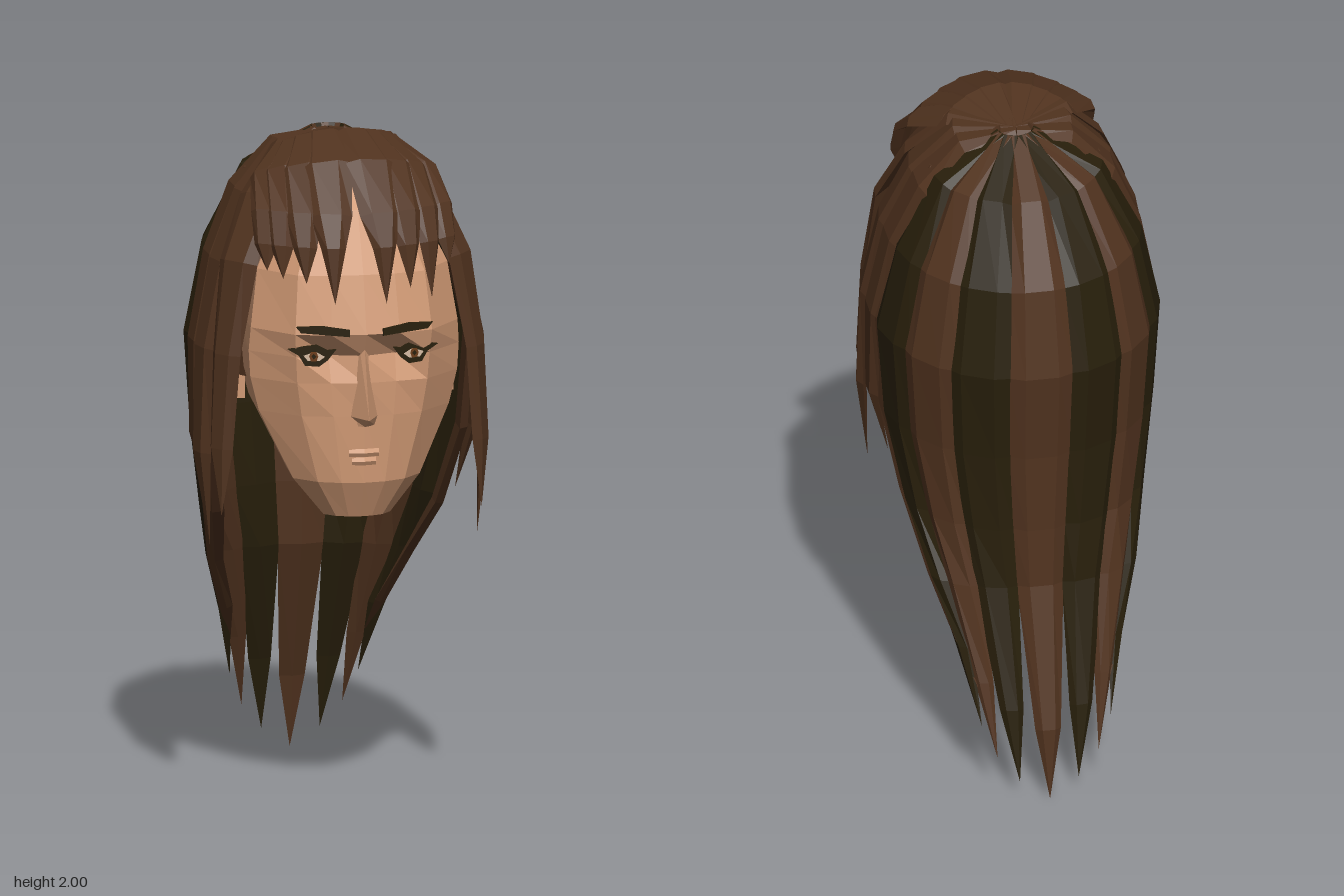
import * as THREE from 'three';

const mat = (name, color) => Object.assign(new THREE.MeshStandardMaterial({ color }), { name });
const V = (x, y, z) => new THREE.Vector3(x, y, z);

// Skin a list of equal-length rings; unshared corners keep every facet flat
function loft(rings) {
  const pos = [];
  const tri = (...p) => p.forEach(v => pos.push(v.x, v.y, v.z));
  const n = rings[0].length;
  for (let i = 0; i < rings.length - 1; i++) {
    for (let j = 0; j < n; j++) {
      const k = (j + 1) % n, a = rings[i], b = rings[i + 1];
      tri(a[j], a[k], b[j]);
      tri(a[k], b[k], b[j]);
    }
  }
  const first = rings[0], last = rings[rings.length - 1];
  for (let j = 1; j < n - 1; j++) {
    tri(first[0], first[j + 1], first[j]);
    tri(last[0], last[j], last[j + 1]);
  }
  const g = new THREE.BufferGeometry();
  g.setAttribute('position', new THREE.Float32BufferAttribute(pos, 3));
  g.computeVertexNormals();
  return g;
}

// Tapered lock of hair: path points, half widths and sideways directions
function lock(path, widths, sides, thick) {
  return loft(path.map((p, i) => {
    const t = path[Math.min(i + 1, path.length - 1)].clone().sub(path[Math.max(i - 1, 0)]).normalize();
    const s = sides[i].clone().normalize();
    const n = s.clone().cross(t).normalize();
    const w = widths[i], d = Math.min(thick, w * 0.5);
    const at = (u, v) => p.clone().addScaledVector(s, u * w).addScaledVector(n, v * d);
    return [at(-1, 0), at(-0.5, 1), at(0.5, 1), at(1, 0), at(0, -0.4)];
  }));
}

export function createModel() {
  const model = new THREE.Group();
  model.name = 'headWithLongHair';
  const skin = mat('skin', 0xd09974);
  const brown = mat('brownHair', 0x51331f);
  const dark = mat('darkHair', 0x281f0b);
  const white = mat('eyeWhite', 0xd8bda4);
  const iris = mat('iris', 0x6b3c18);
  const add = (name, geo, m, parent = model) => {
    const mesh = new THREE.Mesh(geo, m);
    mesh.name = name;
    parent.add(mesh);
    return mesh;
  };

  // Head: y, half width, face corner x, then z of centre, socket, corner and back
  const rows = [
    [0.89, 0.10, 0.07, 0.45, 0.445, 0.43, 0.25],
    [1.00, 0.19, 0.13, 0.50, 0.49, 0.46, 0.10],
    [1.20, 0.285, 0.18, 0.505, 0.495, 0.465, -0.10],
    [1.30, 0.31, 0.195, 0.51, 0.495, 0.475, -0.15],
    [1.38, 0.315, 0.20, 0.50, 0.465, 0.482, -0.18],
    [1.45, 0.31, 0.205, 0.535, 0.525, 0.495, -0.20],
    [1.62, 0.285, 0.19, 0.49, 0.485, 0.46, -0.20],
    [1.80, 0.20, 0.13, 0.41, 0.405, 0.38, -0.12],
    [1.90, 0.10, 0.06, 0.30, 0.295, 0.27, 0],
  ];
  add('head', loft(rows.map(([y, w, cx, zf, zm, zc, zb]) => {
    const z = f => zb + (zc - zb) * f;
    const half = [[cx * 0.5, zm], [cx, zc], [w, z(0.8)], [w * 0.92, z(0.34)], [w * 0.5, z(0.04)]];
    return [
      V(0, y, zf), ...half.map(([x, d]) => V(x, y, d)),
      V(0, y, zb), ...half.reverse().map(([x, d]) => V(-x, y, d)),
    ];
  })), skin);

  // Nose: nostril base, tip and bridge
  add('nose', loft([[1.17, 0.035, 0.49, 0.515], [1.2, 0.045, 0.49, 0.578], [1.4, 0.012, 0.495, 0.51]]
    .map(([y, w, zs, zf]) => [V(-w, y, zs), V(0, y, zf), V(w, y, zs), V(0, y, 0.44)])), skin);

  // Lips
  for (const [name, y, w] of [['upperLip', 1.09, 0.045], ['lowerLip', 1.065, 0.036]]) {
    add(name, loft([[-0.012, 0.504], [0, 0.51], [0.012, 0.504]].map(([d, z]) =>
      [V(-w, y + d, z - 0.008), V(0, y + d, z), V(w, y + d, z - 0.008), V(0, y + d, 0.46)])), skin);
  }

  // Thin face plates, swept back towards the temples
  const plate = (name, pts, s, z, m) => {
    const shape = new THREE.Shape(pts.map(([x, y]) => new THREE.Vector2(x * s, y)));
    const g = new THREE.ExtrudeGeometry(shape, { depth: 0.008, bevelEnabled: false });
    const p = g.attributes.position;
    for (let i = 0; i < p.count; i++) p.setZ(i, p.getZ(i) + z - 0.2 * Math.abs(p.getX(i)));
    g.computeVertexNormals();
    add(name, g, m);
  };
  for (const [side, s] of [['left', 1], ['right', -1]]) {
    plate(side + 'Eyebrow', [[0.05, 1.445], [0.19, 1.457], [0.205, 1.475], [0.13, 1.478], [0.05, 1.466]], s, 0.538, dark);
    plate(side + 'EyeRim', [[0.11, 1.372], [0.135, 1.353], [0.175, 1.356], [0.192, 1.385], [0.225, 1.405],
      [0.19, 1.412], [0.14, 1.418], [0.11, 1.402], [0.085, 1.405]], s, 0.519, dark);
    plate(side + 'EyeWhite', [[0.118, 1.383], [0.135, 1.37], [0.168, 1.371], [0.18, 1.386], [0.145, 1.398]], s, 0.521, white);
    plate(side + 'Iris', [[0.138, 1.384], [0.143, 1.37], [0.159, 1.37], [0.164, 1.384], [0.159, 1.397], [0.143, 1.397]],
      s, 0.523, iris);
    plate(side + 'Pupil', [[0.144, 1.384], [0.151, 1.376], [0.158, 1.384], [0.151, 1.392]], s, 0.525, dark);
    add(side + 'Ear', new THREE.BoxGeometry(0.05, 0.22, 0.09), skin).position.set(s * 0.312, 1.31, 0.12);
  }

  // Scalp beneath the locks
  const scalp = new THREE.SphereGeometry(1, 16, 6, 0, Math.PI * 2, 0, Math.PI * 0.55).toNonIndexed();
  scalp.scale(0.35, 0.57, 0.38);
  scalp.translate(0, 1.36, 0);
  scalp.computeVertexNormals();
  brown.side = THREE.DoubleSide;
  add('scalp', scalp, brown);

  // Long back hair: ellipse rows of y, x radius, z radius, z centre
  const back = new THREE.Group();
  back.name = 'backHair';
  model.add(back);
  const ellipses = [
    [1.95, 0.04, 0.03, -0.03], [1.84, 0.235, 0.225, -0.03], [1.62, 0.345, 0.365, -0.02],
    [1.36, 0.40, 0.435, 0], [1.08, 0.38, 0.40, -0.01], [0.83, 0.335, 0.29, -0.115],
    [0.64, 0.29, 0.13, -0.285],
  ];
  const taper = [1, 1.05, 1.05, 1.05, 1.05, 1, 1, 0.68, 0];
  [-100, -74, -49, -26, 0, 26, 49, 74, 100].forEach((deg, i) => {
    const a = THREE.MathUtils.degToRad(deg), sn = Math.sin(a), cs = Math.cos(a);
    const tipY = 0.3 * Math.pow(Math.abs(deg) / 90, 1.3);
    const endY = Math.min(tipY + 0.22, 0.47);
    const all = [...ellipses,
      [endY, 0.235, 0.045, -0.49 + (endY - 0.24) * 0.4],
      [tipY, 0.2, 0.05, -0.525 + tipY * 0.1]];
    const path = all.map(([y, rx, rz, cz]) => V(rx * sn, y, cz - rz * cs));
    const sides = all.map(([, rx, rz]) => V(rx * cs, 0, rz * sn));
    const widths = sides.map((s, j) => Math.max(s.length() * 0.24, 0.04) * taper[j]);
    add('backLock' + (i + 1), lock(path, widths, sides, 0.025), i % 2 ? dark : brown, back);
  });

  // Fringe: locks running forward from the crown, [x, tip height]
  const fringe = new THREE.Group();
  fringe.name = 'fringe';
  model.add(fringe);
  const bangs = [[-0.265, 1.63], [-0.225, 1.61], [-0.165, 1.6], [-0.088, 1.54], [0.06, 1.54], [0.135, 1.58], [0.205, 1.54], [0.265, 1.63]];
  bangs.forEach(([x, tip], i) => {
    const ax = Math.abs(x), c = 1.7 * x * x, d = 0.6 * x * x;
    const path = [
      V(0, 1.95, -0.03), V(0.6 * x, 1.983 - d, 0.18 - c * 0.4), V(0.92 * x, 1.925 - d, 0.35 - c),
      V(x, 1.79, 0.46 - c), V(x * 1.02, 1.7, 0.505 - c), V(x * 1.03, tip, 0.535 - c),
    ];
    // outer locks lean down over the temples
    const lean = path.map((p, j) => V(-1, j < 3 ? x * 1.6 : 0, x * 2.5));
    add('fringeLock' + (i + 1), lock(path, [0.02, 0.06, 0.092 - 0.17 * ax, 0.072 - 0.11 * ax, 0.036, 0], lean, 0.018), brown, fringe);
  });

  // Side locks hanging past the cheeks
  const sideLocks = [
    { dir: [-0.57, 0.82], w: [0.03, 0.07, 0.085, 0.075, 0.055, 0.045, 0],
      p: [[0, 1.95, 0], [0.15, 1.94, 0.13], [0.25, 1.81, 0.22], [0.33, 1.63, 0.28], [0.37, 1.36, 0.3], [0.385, 1.08, 0.3], [0.39, 0.88, 0.32]] },
    { dir: [-0.2, 1], w: [0.03, 0.07, 0.085, 0.08, 0.07, 0.055, 0],
      p: [[0, 1.95, 0], [0.16, 1.935, 0.07], [0.275, 1.8, 0.11], [0.355, 1.61, 0.15], [0.405, 1.36, 0.17], [0.415, 1.05, 0.18], [0.4, 0.77, 0.2]] },
    { dir: [0, 1], w: [0.03, 0.07, 0.09, 0.09, 0.085, 0.06, 0],
      p: [[0, 1.95, -0.02], [0.16, 1.925, 0], [0.275, 1.8, 0], [0.355, 1.61, 0.03], [0.405, 1.36, 0.05], [0.405, 1.08, 0.06], [0.37, 0.88, 0.03]] },
  ];
  for (const [side, s] of [['left', 1], ['right', -1]]) {
    sideLocks.forEach(({ dir, w, p }, i) => {
      const path = p.map(([x, y, z]) => V(s * x, y, z));
      add(side + 'SideLock' + (i + 1), lock(path, w, path.map(() => V(dir[0], 0, dir[1] * s)), 0.022), brown);
    });
  }
  return model;
}
